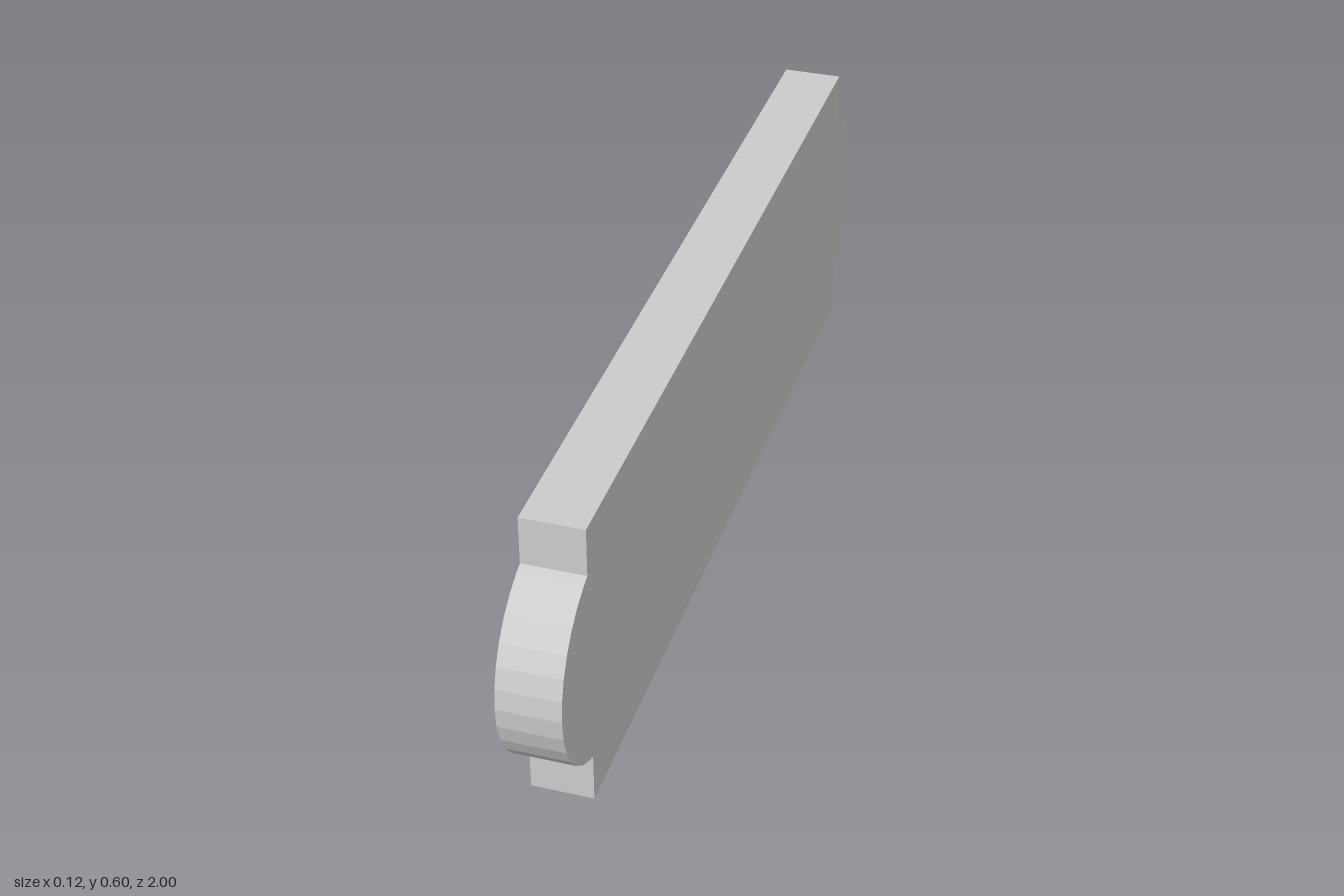
import * as THREE from 'three';

const HEIGHT = 0.6, THICKNESS = 0.12;
const RADIUS = 0.212, CENTER_Z = 0.788, CENTER_Y = 0.302;
const FRONT_Z = 0.853, BACK_Z = -0.865;
const STEP = Math.PI / 16;

// Faceted round end, from its lower shoulder to its upper one
function endProfile(edgeZ) {
  const side = Math.sign(edgeZ);
  const half = Math.sqrt(RADIUS ** 2 - (Math.abs(edgeZ) - CENTER_Z) ** 2);
  const points = [new THREE.Vector2(edgeZ, CENTER_Y - half)];
  for (let k = -6; k <= 6; k++) {
    points.push(new THREE.Vector2(
      side * (CENTER_Z + RADIUS * Math.cos(k * STEP)),
      CENTER_Y + RADIUS * Math.sin(k * STEP)));
  }
  points.push(new THREE.Vector2(edgeZ, CENTER_Y + half));
  return points;
}

export function createModel() {
  const group = new THREE.Group();
  group.name = 'plaque';

  // Side outline, counter-clockwise, drawn with z along the shape's x axis
  const outline = new THREE.Shape([
    new THREE.Vector2(BACK_Z, 0),
    new THREE.Vector2(FRONT_Z, 0),
    ...endProfile(FRONT_Z),
    new THREE.Vector2(FRONT_Z, HEIGHT),
    new THREE.Vector2(BACK_Z, HEIGHT),
    ...endProfile(BACK_Z).reverse(),
  ]);

  // Flat board with shouldered round ends
  const geometry = new THREE.ExtrudeGeometry(outline, { depth: THICKNESS, bevelEnabled: false });
  geometry.translate(0, 0, -THICKNESS / 2);
  geometry.rotateY(-Math.PI / 2);
  const board = new THREE.Mesh(geometry,
    new THREE.MeshStandardMaterial({ color: 0xcccccc, flatShading: true }));
  board.name = 'board';
  group.add(board);
  return group;
}
